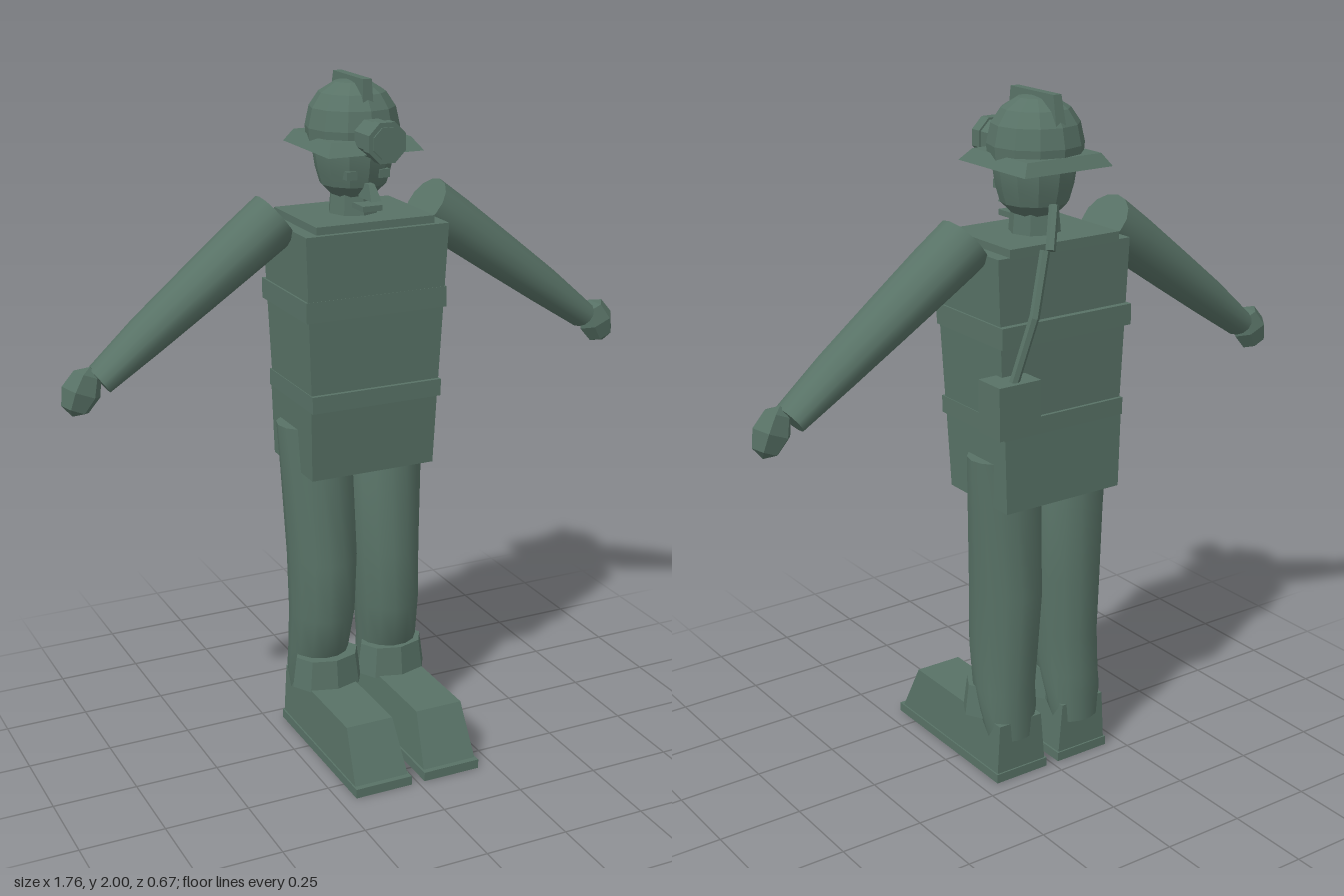
import * as THREE from 'three';
import { toCreasedNormals } from 'three/addons/utils/BufferGeometryUtils.js';

export function createModel() {
  const model = new THREE.Group();
  const green = new THREE.MeshStandardMaterial({ color: 0x587266 });
  green.name = 'greyGreen';

  const add = (name, geo, x = 0, y = 0, z = 0, crease = 0.25) => {
    const mesh = new THREE.Mesh(toCreasedNormals(geo, crease), green);
    mesh.name = name;
    mesh.position.set(x, y, z);
    model.add(mesh);
    return mesh;
  };

  // Block with separate bottom and top rectangles: [x0, x1, z0, z1]
  const block = (name, y0, y1, bottom, top = bottom) => {
    const geo = new THREE.BoxGeometry(1, 1, 1);
    const p = geo.attributes.position;
    for (let i = 0; i < p.count; i++) {
      const r = p.getY(i) > 0 ? top : bottom;
      p.setXYZ(i, p.getX(i) > 0 ? r[1] : r[0], p.getY(i) > 0 ? y1 : y0, p.getZ(i) > 0 ? r[3] : r[2]);
    }
    return add(name, geo);
  };

  // Closed limb from rings [x, y, z, halfWidth, halfDepth], top first; tilt leans the rings in the xy plane
  const limb = (name, rings, tilt = 0, sides = 14) => {
    const pos = [], index = [], n = rings.length;
    const c = Math.cos(tilt), s = Math.sin(tilt);
    for (const [x, y, z, w, d] of rings) {
      for (let j = 0; j < sides; j++) {
        const a = (j / sides) * Math.PI * 2;
        const u = Math.cos(a) * w;
        pos.push(x + u * c, y + u * s, z + Math.sin(a) * d);
      }
    }
    for (let i = 0; i < n - 1; i++) {
      for (let j = 0; j < sides; j++) {
        const a = i * sides + j, b = i * sides + (j + 1) % sides;
        index.push(a, b, a + sides, b, b + sides, a + sides);
      }
    }
    for (let j = 1; j < sides - 1; j++) {
      const e = (n - 1) * sides;
      index.push(0, j + 1, j, e, e + j, e + j + 1);
    }
    const geo = new THREE.BufferGeometry();
    geo.setAttribute('position', new THREE.Float32BufferAttribute(pos, 3));
    geo.setIndex(index);
    return add(name, geo, 0, 0, 0, 0.7);
  };

  // Torso, straps and jacket hem
  block('chest', 1.12, 1.595, [-0.2, 0.2, -0.237, 0.05], [-0.22, 0.22, -0.243, 0.068]);
  block('shoulderPlate', 1.59, 1.617, [-0.182, 0.182, -0.243, 0.052]);
  block('chestBand', 1.35, 1.41, [-0.218, 0.218, -0.258, 0.062]);
  block('belt', 1.085, 1.135, [-0.203, 0.203, -0.247, 0.063]);
  block('jacketHem', 0.87, 1.09, [-0.192, 0.196, -0.248, 0.03], [-0.2, 0.2, -0.245, 0.046]);

  for (const side of [1, -1]) {
    const label = side > 0 ? 'left' : 'right';

    // Arm, running down from shoulder to wrist
    const arm = [
      [0.235, 1.618, -0.108, 0.08, 0.09],
      [0.33, 1.55, -0.105, 0.076, 0.088],
      [0.48, 1.44, -0.1, 0.067, 0.081],
      [0.63, 1.33, -0.095, 0.057, 0.073],
      [0.772, 1.222, -0.09, 0.042, 0.06],
    ].map(([x, y, z, w, d]) => [x * side, y, z, w, d]);
    limb(label + 'Arm', arm, side * 0.93);

    // Faceted fist in line with the arm
    const hand = add(label + 'Hand', new THREE.SphereGeometry(1, 6, 4), 0.824 * side, 1.197, -0.088);
    hand.scale.set(0.058, 0.073, 0.045);
    hand.rotation.z = 0.4 * side;

    // Trouser leg, its ankle hanging over the back of the boot
    const back = side > 0 ? 0 : -0.012;
    const leg = [
      [0.135, 1.0, -0.125, 0.096, 0.085],
      [0.113, 0.85, -0.118, 0.109, 0.1],
      [0.104, 0.58, -0.107, 0.102, 0.121],
      [0.108, 0.4, -0.102, 0.096, 0.116],
      [0.112, 0.27, -0.11 + back, 0.09, 0.1],
      [0.113, 0.2, -0.132 + back, 0.088, 0.076],
      [0.113, 0.12, -0.145 + back, 0.076, 0.06],
    ].map(([x, y, z, w, d]) => [x * side, y, z, w, d]);
    limb(label + 'Leg', leg);

    // Flared cuff
    const cuff = add(label + 'Cuff', new THREE.CylinderGeometry(0.1, 0.113, 0.095, 8), 0.108 * side, 0.222, -0.067);
    cuff.scale.z = 0.74;

    // Boot with sloping toe and a flat sole
    const sx = (a, b) => (side > 0 ? [a, b] : [-b, -a]);
    block(label + 'Boot', 0.02, 0.18, [...sx(0.026, 0.196), -0.198, 0.325], [...sx(0.04, 0.187), -0.198, 0.245]);
    block(label + 'Sole', 0, 0.028, [...sx(0.021, 0.2), -0.203, 0.338]);
  }

  // Neck and head
  add('neck', new THREE.CylinderGeometry(0.065, 0.075, 0.11, 8), 0, 1.65, -0.1);
  const headProfile = [[0, 1.655], [0.06, 1.665], [0.095, 1.7], [0.108, 1.745], [0.115, 1.79], [0.115, 1.82], [0, 1.82]]
    .map(([r, y]) => new THREE.Vector2(r, y));
  add('head', new THREE.LatheGeometry(headProfile, 12), 0, 0, -0.1);

  // Face
  block('nose', 1.672, 1.715, [-0.016, 0.016, -0.03, 0.053], [-0.009, 0.009, -0.03, 0.022]);
  block('mouth', 1.64, 1.656, [-0.03, 0.03, -0.05, 0.03]);
  for (const side of [1, -1]) {
    add('eye', new THREE.BoxGeometry(0.032, 0.024, 0.03), 0.05 * side, 1.738, -0.012);
  }

  // Helmet dome, square sloping brim and crest
  const domeProfile = [[0, 1.825], [0.131, 1.825], [0.134, 1.86], [0.122, 1.915], [0.095, 1.955], [0.05, 1.983], [0, 1.99]]
    .map(([r, y]) => new THREE.Vector2(r, y));
  add('helmetDome', new THREE.LatheGeometry(domeProfile, 12), 0, 0, -0.103);
  block('helmetBrim', 1.803, 1.838, [-0.145, 0.145, -0.257, 0.055], [-0.122, 0.122, -0.235, 0.02]);
  block('helmetCrest', 1.9, 2.0, [-0.017, 0.017, -0.222, 0.003], [-0.013, 0.013, -0.2, -0.005]);

  // Headlamp
  const lamp = (name, r0, r1, length, z) => {
    const geo = new THREE.CylinderGeometry(r0, r1, length, 8);
    geo.rotateY(Math.PI / 8);
    geo.rotateX(Math.PI / 2);
    add(name, geo, 0, 1.845, z);
  };
  lamp('lampHousing', 0.054, 0.054, 0.11, 0.045);
  lamp('lampRim', 0.06, 0.06, 0.035, 0.103);
  lamp('lampLens', 0.046, 0.046, 0.008, 0.121);

  // Battery pack and its cable up the back
  block('batteryPack', 1.118, 1.268, [0.13, 0.265, -0.313, -0.213]);
  const cable = [
    [[0.2, 1.26, -0.285], [0.155, 1.445, -0.315]],
    [[0.155, 1.44, -0.315], [0.105, 1.615, -0.293]],
    [[0.085, 1.61, -0.29], [0.045, 1.72, -0.25]],
  ];
  for (const [a, b] of cable) {
    const start = new THREE.Vector3(...a), end = new THREE.Vector3(...b);
    const dir = end.clone().sub(start);
    const mid = start.clone().lerp(end, 0.5);
    const piece = add('cable', new THREE.CylinderGeometry(0.014, 0.014, dir.length(), 6), mid.x, mid.y, mid.z);
    piece.quaternion.setFromUnitVectors(new THREE.Vector3(0, 1, 0), dir.normalize());
  }

  return model;
}
